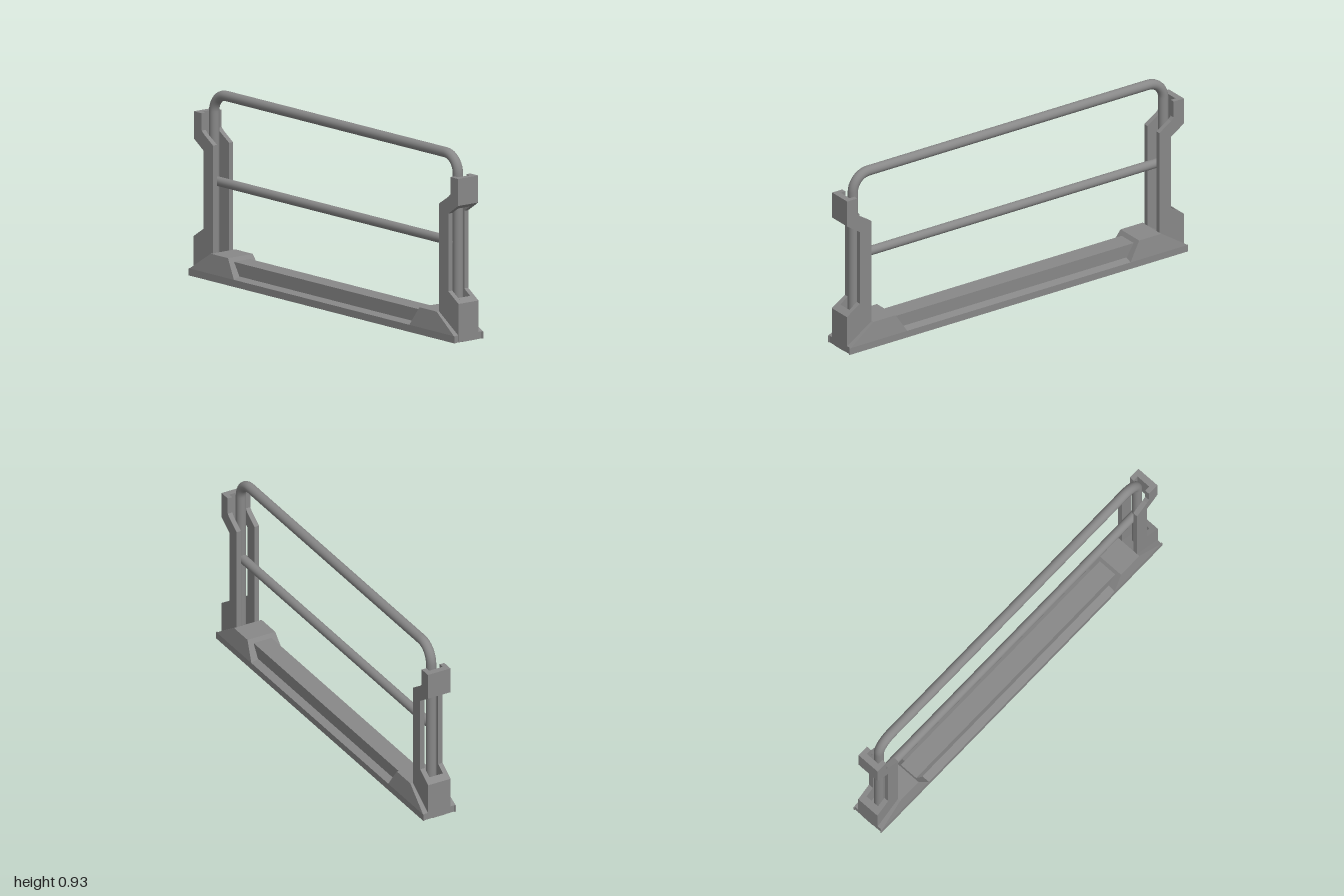
import * as THREE from 'three';

const steel = new THREE.MeshStandardMaterial({ color: 0x888888, side: THREE.DoubleSide });
steel.name = 'grey steel';

function add(group, name, geometry, x = 0, y = 0, z = 0) {
  const mesh = new THREE.Mesh(geometry, steel);
  mesh.name = name;
  mesh.position.set(x, y, z);
  group.add(mesh);
  return mesh;
}

// Extrudes an outline from z0 to z1
function prism(points, z0, z1) {
  const shape = new THREE.Shape(points.map(([x, y]) => new THREE.Vector2(x, y)));
  const geometry = new THREE.ExtrudeGeometry(shape, { depth: z1 - z0, bevelEnabled: false });
  return geometry.translate(0, 0, z0);
}

// Builds flat quads from corner lists, hard edged
function quads(list) {
  const positions = [];
  for (const [a, b, c, d] of list) positions.push(...a, ...b, ...c, ...a, ...c, ...d);
  const geometry = new THREE.BufferGeometry();
  geometry.setAttribute('position', new THREE.Float32BufferAttribute(positions, 3));
  geometry.computeVertexNormals();
  return geometry;
}

// Upright at +x (side = 1) or -x (side = -1)
function createPost(side) {
  const post = new THREE.Group();
  post.name = side > 0 ? 'leftPost' : 'rightPost';
  const mirror = (points) => points.map(([x, y]) => [x * side, y]);

  // Two cheek plates with stepped ends
  const cheek = mirror([
    [0.997, 0.005], [0.997, 0.19], [0.92, 0.24], [0.92, 0.622], [0.995, 0.672], [0.995, 0.805],
    [0.935, 0.805], [0.935, 0.72], [0.92, 0.705], [0.85, 0.66], [0.85, 0.1],
  ]);
  add(post, 'frontCheek', prism(cheek, 0.0375, 0.0625));
  add(post, 'backCheek', prism(cheek, -0.0625, -0.0375));

  // Outer webs joining the cheeks at top and bottom
  const upper = mirror([[0.995, 0.672], [0.995, 0.805], [0.963, 0.805], [0.963, 0.651]]);
  const lower = mirror([[0.997, 0], [0.997, 0.19], [0.965, 0.211], [0.965, 0]]);
  add(post, 'upperWeb', prism(upper, -0.0375, 0.0375));
  add(post, 'lowerWeb', prism(lower, -0.0375, 0.0375));

  // Hollow tapered foot around the bottom of the post
  const corners = (s) => [
    [0.995 * side, 0.035, 0.09 * s], [0.85 * side, 0.13, 0.077 * s],
    [0.72 * side, 0.13, 0.077 * s], [0.66 * side, 0.035, 0.09 * s],
  ];
  const f = corners(1), b = corners(-1);
  const faces = [f.slice().reverse(), b];
  for (let i = 0; i < 3; i++) faces.push([f[i], f[i + 1], b[i + 1], b[i]]);
  if (side < 0) faces.forEach((face) => face.reverse());
  add(post, 'foot', quads(faces));
  return post;
}

function createBase() {
  const base = new THREE.Group();
  base.name = 'base';

  // Raised beam, ends matching the slope of the feet
  add(base, 'beam', prism([[-0.66, 0.035], [0.66, 0.035], [0.708, 0.11], [-0.708, 0.11]], -0.05, 0.05));

  // Tray with gently sloping flanges
  const tray = prism([[-0.09, 0.029], [0.09, 0.029], [0.09, 0.035], [0.05, 0.045], [-0.05, 0.045], [-0.09, 0.035]], -0.662, 0.662);
  add(base, 'tray', tray.rotateY(Math.PI / 2));

  // Skirt, open underneath
  for (const s of [1, -1]) {
    add(base, s > 0 ? 'frontSkirt' : 'backSkirt', new THREE.BoxGeometry(2, 0.035, 0.006), 0, 0.0175, 0.087 * s);
    add(base, s > 0 ? 'leftEndSkirt' : 'rightEndSkirt', new THREE.BoxGeometry(0.006, 0.035, 0.176), 0.992 * s, 0.0175, 0);
  }
  return base;
}

// Bent hoop of round tube
function createHoop() {
  const v = (x, y) => new THREE.Vector3(x, y, 0);
  const x = 0.917, y = 0.9, r = 0.09, foot = 0.1;
  const path = new THREE.CurvePath();
  const k = r * 0.448;
  path.add(new THREE.LineCurve3(v(-x, foot), v(-x, y - r)));
  path.add(new THREE.CubicBezierCurve3(v(-x, y - r), v(-x, y - k), v(-x + k, y), v(-x + r, y)));
  path.add(new THREE.LineCurve3(v(-x + r, y), v(x - r, y)));
  path.add(new THREE.CubicBezierCurve3(v(x - r, y), v(x - k, y), v(x, y - k), v(x, y - r)));
  path.add(new THREE.LineCurve3(v(x, y - r), v(x, foot)));
  return new THREE.TubeGeometry(path, 240, 0.025, 20, false);
}

export function createModel() {
  const model = new THREE.Group();
  model.name = 'barrier';
  model.add(createBase(), createPost(1), createPost(-1));
  add(model, 'hoop', createHoop());
  // Cross bar between the uprights
  const bar = add(model, 'crossBar', new THREE.CylinderGeometry(0.023, 0.023, 1.82, 20), 0, 0.47, 0);
  bar.rotation.z = Math.PI / 2;
  return model;
}
